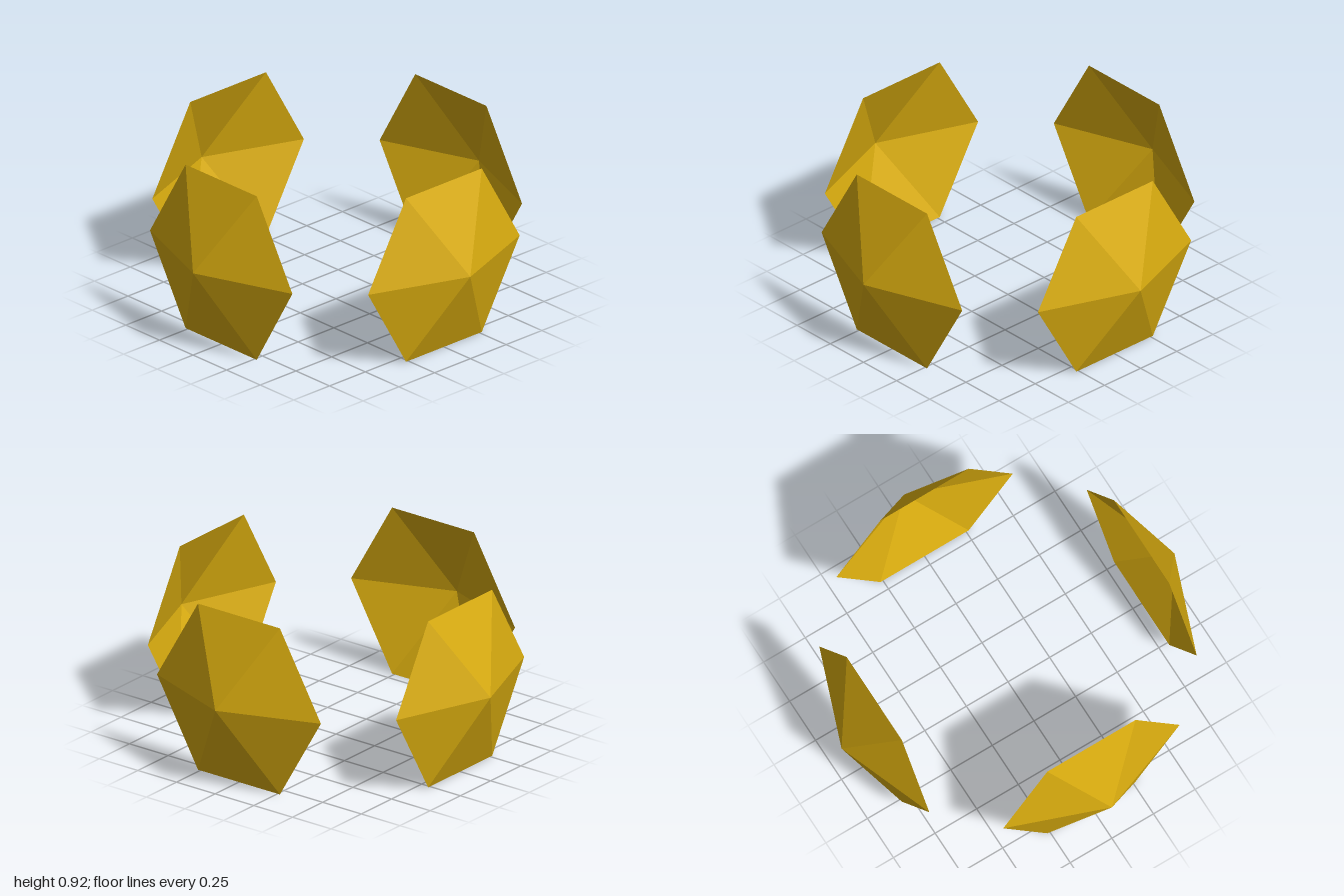
import * as THREE from 'three';

export function createModel() {
  const model = new THREE.Group();
  const radius = 0.53, base = 0.803, height = 1 - base;
  const gold = new THREE.MeshStandardMaterial({
    color: 0xd9ac0f, flatShading: true, side: THREE.DoubleSide,
  });

  // Open six-sided pyramid, apex towards +z, a corner on each side
  const geometry = new THREE.ConeGeometry(radius, height, 6, 1, true, Math.PI / 2);
  geometry.rotateX(Math.PI / 2);
  geometry.translate(0, radius * Math.sqrt(3) / 2, base + height / 2);

  // Four shells in a ring, apexes outwards
  ['frontShell', 'leftShell', 'backShell', 'rightShell'].forEach((name, i) => {
    const shell = new THREE.Mesh(geometry, gold);
    shell.name = name;
    shell.rotation.y = i * Math.PI / 2;
    model.add(shell);
  });
  return model;
}
